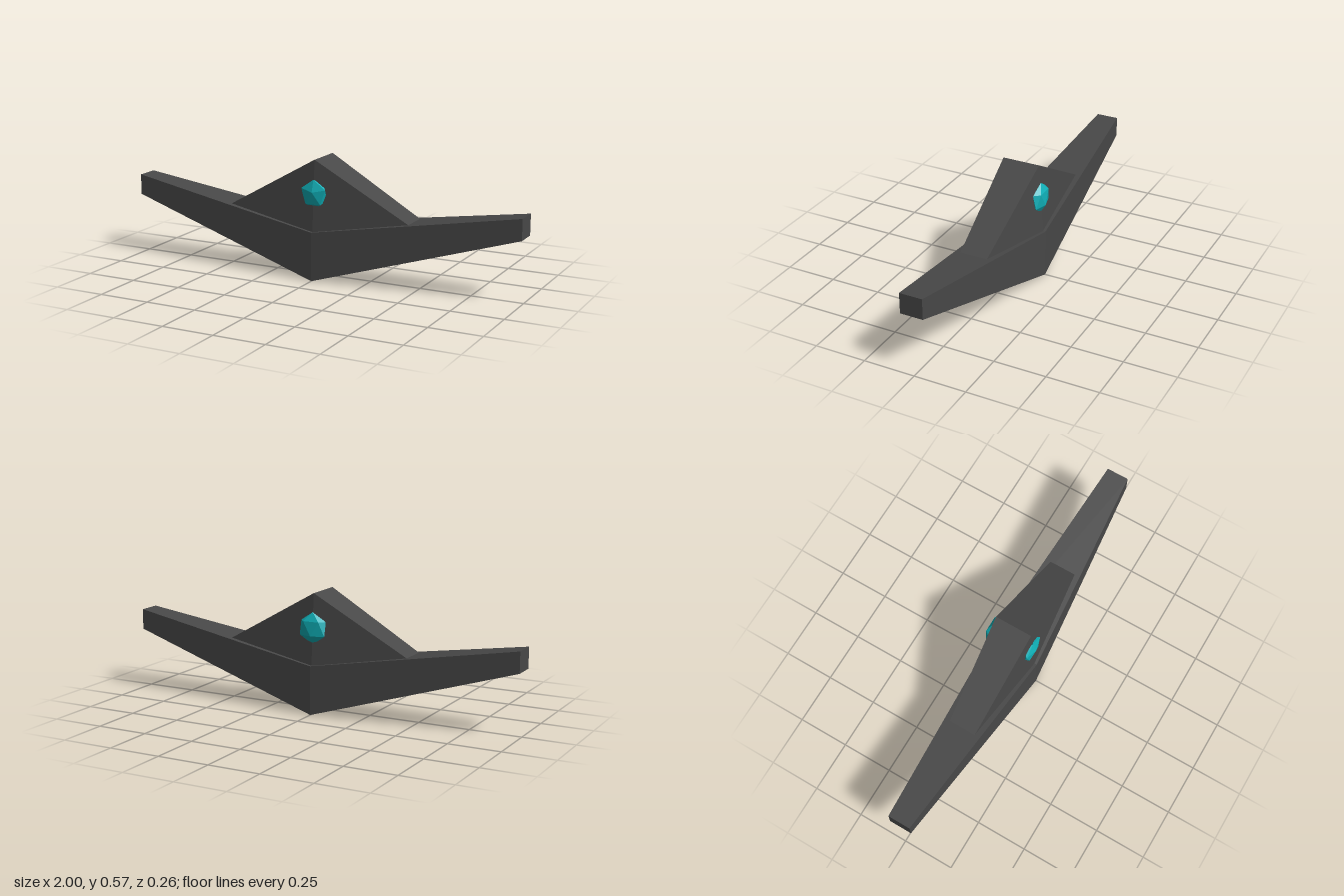
import * as THREE from 'three';

// Lofts four-cornered cross-sections along x: [x, bottomY, bottomHalfDepth, topY, topHalfDepth]
function loft(sections) {
  const rings = sections.map(([x, y0, z0, y1, z1]) => [
    [x, y0, z0], [x, y0, -z0], [x, y1, -z1], [x, y1, z1],
  ]);
  const pos = [];
  const quad = (a, b, c, d) => pos.push(...a, ...b, ...c, ...a, ...c, ...d);
  for (let s = 0; s < rings.length - 1; s++) {
    const a = rings[s], b = rings[s + 1];
    for (let i = 0; i < 4; i++) {
      const j = (i + 1) % 4;
      quad(a[i], a[j], b[j], b[i]);
    }
  }
  const first = rings[0], last = rings[rings.length - 1];
  quad(...last);
  quad(first[3], first[2], first[1], first[0]);
  const geo = new THREE.BufferGeometry();
  geo.setAttribute('position', new THREE.Float32BufferAttribute(pos, 3));
  geo.computeVertexNormals();
  return geo;
}

// Icosahedron standing on a corner, tilted, then flattened in depth
function gemGeometry(radius, tilt, depth) {
  const geo = new THREE.IcosahedronGeometry(radius, 0);
  geo.rotateX(-Math.atan2((1 + Math.sqrt(5)) / 2, 1)); // bring a corner upright
  geo.rotateX(tilt);
  geo.scale(1, 1, depth);
  geo.computeVertexNormals();
  return geo;
}

export function createModel() {
  const metal = new THREE.MeshStandardMaterial({ color: 0x484848, flatShading: true });
  metal.name = 'dark grey metal';
  const teal = new THREE.MeshStandardMaterial({ color: 0x10b0b8, flatShading: true });
  teal.name = 'teal gem';

  const group = new THREE.Group();
  const add = (name, geo, mat) => {
    const mesh = new THREE.Mesh(geo, mat);
    mesh.name = name;
    group.add(mesh);
    return mesh;
  };

  // Swept band with tapering tips
  add('band', loft([
    [-1, 0.3, 0.055, 0.4, 0.055],
    [0, 0, 0.128, 0.235, 0.128],
    [1, 0.3, 0.055, 0.4, 0.055],
  ]), metal);

  // Raised peak on top of the band
  add('peak', loft([
    [-0.465, 0.312, 0.067, 0.312, 0.067],
    [0, 0.235, 0.115, 0.575, 0.092],
    [0.465, 0.312, 0.067, 0.312, 0.067],
  ]), metal);

  // Gems set into both faces of the peak
  add('frontGem', gemGeometry(0.073, 0.3, 0.36), teal).position.set(0, 0.413, 0.096);
  add('backGem', gemGeometry(0.076, 0, 0.38), teal).position.set(0, 0.411, -0.102);

  return group;
}
